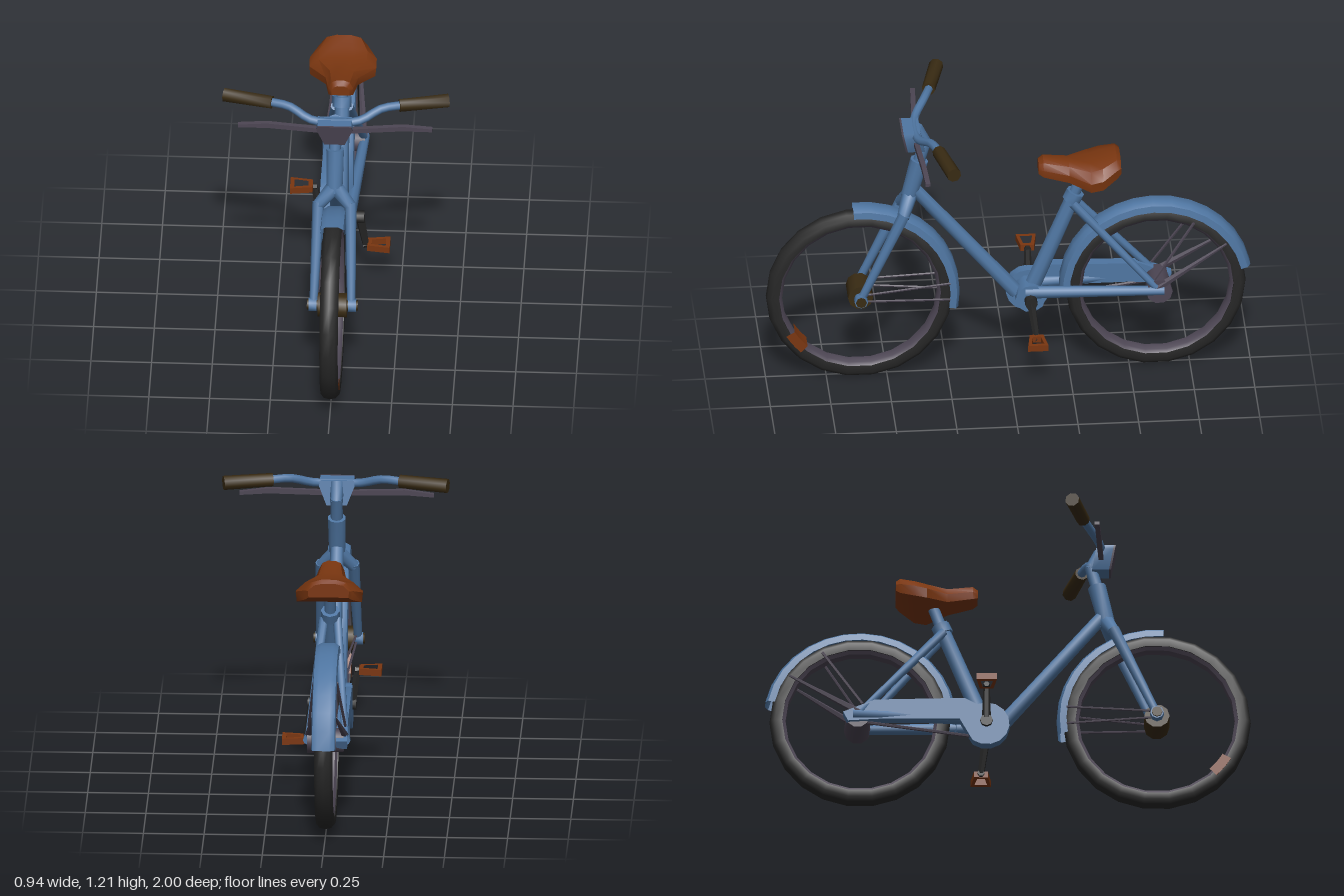
import * as THREE from 'three';
import { toCreasedNormals } from 'three/addons/utils/BufferGeometryUtils.js';

const paint = (name, color, side = THREE.FrontSide) => {
  const m = new THREE.MeshStandardMaterial({ color, side });
  m.name = name;
  return m;
};

export function createModel() {
  const blue = paint('frameBlue', 0x4f76a2, THREE.DoubleSide);
  const black = paint('tyreBlack', 0x272727);
  const grey = paint('metalGrey', 0x4d4654, THREE.DoubleSide);
  const leather = paint('leatherOrange', 0x7a3610);
  const olive = paint('gripBrown', 0x392b13);

  const model = new THREE.Group();
  model.name = 'bicycle';
  const V = (p) => new THREE.Vector3(...p);

  function add(name, geo, mat, crease = 0.7) {
    const mesh = new THREE.Mesh(toCreasedNormals(geo, crease), mat);
    mesh.name = name;
    model.add(mesh);
    return mesh;
  }
  // Straight tube between two points, optionally tapered
  function rod(name, a, b, r, mat, rEnd = r, sides = 8) {
    const from = V(a), dir = V(b).sub(from);
    const geo = new THREE.CylinderGeometry(rEnd, r, dir.length(), sides);
    geo.translate(0, dir.length() / 2, 0);
    geo.applyQuaternion(new THREE.Quaternion().setFromUnitVectors(new THREE.Vector3(0, 1, 0), dir.normalize()));
    geo.translate(...a);
    return add(name, geo, mat, 0.9);
  }
  // Profile of [radius, x] swept about the x axis; angles in degrees from front (+z) towards the top
  function ring(name, profile, y, z, mat, start = 0, end = 360, segs = 22) {
    const pts = profile.map(([r, x]) => new THREE.Vector2(r, x));
    const rad = Math.PI / 180;
    const geo = new THREE.LatheGeometry(pts, segs, start * rad, (end - start) * rad);
    geo.rotateZ(Math.PI / 2);
    geo.translate(0, y, z);
    return add(name, geo, mat, 0.9);
  }

  // Wheels and mudguards
  function wheel(label, R, y, z) {
    ring(label + 'Tyre', [
      [R - 0.052, -0.036], [R - 0.022, -0.038], [R - 0.005, -0.024], [R, 0],
      [R - 0.005, 0.024], [R - 0.022, 0.038], [R - 0.052, 0.036], [R - 0.052, -0.036],
    ], y, z, black);
    ring(label + 'Rim', [
      [R - 0.053, -0.033], [R - 0.05, 0.033], [R - 0.066, 0.022], [R - 0.066, -0.022], [R - 0.053, -0.033],
    ], y, z, grey);
  }
  const fender = (R) => [[R - 0.04, -0.05], [R - 0.012, -0.046], [R, -0.025], [R, 0.025], [R - 0.012, 0.046], [R - 0.04, 0.05]];
  const front = [0.395, 0.612], rear = [0.385, -0.61];
  wheel('front', 0.387, ...front);
  wheel('rear', 0.372, ...rear);
  ring('frontMudguard', fender(0.412), ...front, blue, 86, 190, 10);
  ring('rearMudguard', fender(0.398), ...rear, blue, -3, 168, 15);
  // Reflector set on the inner rim
  ring('reflector', [[0.312, -0.039], [0.352, -0.039], [0.352, 0.039], [0.312, 0.039], [0.312, -0.039]], ...front, leather, -46, -30, 3);

  // Hubs
  rod('frontHub', [-0.06, 0.4, 0.612], [0.06, 0.4, 0.612], 0.052, olive, 0.052, 10);
  rod('frontAxle', [-0.105, 0.4, 0.612], [0.105, 0.4, 0.612], 0.022, olive);
  rod('rearHub', [-0.07, 0.385, -0.62], [0.08, 0.385, -0.62], 0.048, grey, 0.055, 10);

  // Fork, mudguard stays and rear triangle, mirrored on both sides
  for (const s of [-1, 1]) {
    rod('forkLeg', [s * 0.078, 0.4, 0.612], [s * 0.066, 0.79, 0.432], 0.017, blue, 0.025);
    rod('forkCrown', [s * 0.068, 0.775, 0.438], [0, 0.85, 0.405], 0.025, blue, 0.034);
    rod('forkEnd', [s * 0.065, 0.4, 0.612], [s * 0.098, 0.4, 0.612], 0.028, blue);
    for (const y of [0.445, 0.37])
      rod('frontMudguardStay', [s * 0.07, 0.4 + (y - 0.4) * 0.4, 0.59], [s * 0.048, y, 0.24], 0.005, grey, 0.005, 5);
    rod('seatStay', [s * 0.028, 0.79, -0.265], [s * 0.075, 0.4, -0.61], 0.019, blue, 0.015);
    rod('chainStay', [s * 0.04, 0.385, -0.07], [s * 0.078, 0.39, -0.64], 0.027, blue, 0.02);
    rod('rearMudguardStay', [s * 0.075, 0.44, -0.6], [s * 0.047, 0.685, -0.765], 0.006, grey, 0.006, 5);
    rod('rearMudguardStay', [s * 0.075, 0.4, -0.61], [s * 0.047, 0.58, -0.9], 0.016, grey, 0.005, 5);
  }

  // Main frame tubes
  rod('headTube', [0, 0.83, 0.41], [0, 1.01, 0.365], 0.034, blue, 0.038, 10);
  rod('downTube', [0, 0.89, 0.4], [0, 0.37, -0.035], 0.028, blue, 0.032);
  rod('seatTube', [0, 0.34, -0.08], [0, 0.82, -0.275], 0.035, blue, 0.031);
  rod('seatClamp', [0, 0.79, -0.262], [0, 0.83, -0.28], 0.039, blue);
  rod('seatPost', [0, 0.82, -0.275], [0, 0.93, -0.315], 0.024, blue);
  rod('bottomBracket', [-0.07, 0.36, -0.09], [0.055, 0.36, -0.09], 0.062, blue, 0.062, 10);

  // Chain case on one side
  const caseShape = new THREE.Shape();
  caseShape.absarc(-0.09, 0.35, 0.1, 1.9, Math.PI * 1.5 + 0.35, false);
  caseShape.absarc(-0.09, 0.35, 0.1, -1.3, 0.9, false);
  caseShape.lineTo(0.08, 0.46);
  caseShape.lineTo(0.5, 0.455);
  caseShape.lineTo(0.64, 0.41);
  caseShape.lineTo(0.65, 0.365);
  caseShape.lineTo(0.5, 0.37);
  caseShape.lineTo(0.03, 0.37);
  const guard = new THREE.Shape();
  const arc = [];
  for (let i = 0; i <= 10; i++) {
    const a = 1.15 + (i / 10) * 4.2;
    arc.push(new THREE.Vector2(0.09 + 0.095 * Math.cos(a), 0.35 + 0.095 * Math.sin(a)));
  }
  guard.setFromPoints([...arc, ...[[0.2, 0.37], [0.5, 0.37], [0.66, 0.36], [0.68, 0.4], [0.55, 0.455], [0.18, 0.465]].map((p) => new THREE.Vector2(...p))]);
  const guardGeo = new THREE.ExtrudeGeometry(guard, { depth: 0.045, bevelEnabled: false });
  guardGeo.rotateY(Math.PI / 2); // shape x becomes -z, depth becomes +x
  guardGeo.translate(-0.085, 0, 0);
  add('chainCase', guardGeo, blue);
  rod('lowerChain', [-0.06, 0.3, -0.13], [-0.06, 0.365, -0.6], 0.007, grey, 0.007, 5);

  // Cranks and open-framed pedals, half a turn apart
  for (const [s, y, z] of [[1, 0.21, -0.11], [-1, 0.508, -0.09]]) {
    rod('crankHub', [s * 0.05, 0.36, -0.09], [s * 0.1, 0.36, -0.09], 0.026, black);
    rod('crankArm', [s * 0.082, 0.36, -0.09], [s * 0.105, y, z], 0.019, black, 0.014, 6);
    rod('pedalAxle', [s * 0.095, y, z], [s * 0.13, y, z], 0.015, black, 0.012, 6);
    const outline = (pts) => pts.map(([x, h]) => new THREE.Vector2(s * x, h));
    const pedal = new THREE.Shape(outline([[0.112, -0.028], [0.205, -0.042], [0.205, 0.042], [0.112, 0.028]]));
    pedal.holes.push(new THREE.Path(outline([[0.13, -0.016], [0.188, -0.026], [0.188, 0.026], [0.13, 0.016]])));
    const geo = new THREE.ExtrudeGeometry(pedal, { depth: 0.027, bevelEnabled: false });
    geo.rotateX(-Math.PI / 2);
    geo.translate(0, y - 0.0135, z);
    add('pedal', geo, leather);
  }

  // Saddle lofted from sections: z, half width, top, bottom
  const sections = [
    [-0.125, 0.038, 0.985, 0.94], [-0.145, 0.052, 1.0, 0.93], [-0.25, 0.068, 0.985, 0.908],
    [-0.335, 0.138, 0.985, 0.896], [-0.385, 0.138, 1.0, 0.905], [-0.445, 0.098, 1.022, 0.935], [-0.462, 0.085, 1.01, 0.95],
  ];
  const pos = [], idx = [], n = 8;
  for (const [z, w, t, b] of sections) {
    const h = t - b;
    const half = [[0.97, b], [1, b + h * 0.45], [0.72, b + h * 0.86], [0.3, t]];
    for (const [k, y] of half) pos.push(w * k, y, z);
    for (const [k, y] of half.slice().reverse()) pos.push(-w * k, y, z);
  }
  for (let i = 0; i < sections.length - 1; i++)
    for (let j = 0; j < n; j++) {
      const a = i * n + j, b = i * n + ((j + 1) % n);
      idx.push(a, a + n, b, b, a + n, b + n);
    }
  const last = (sections.length - 1) * n;
  for (let j = 1; j < n - 1; j++) {
    idx.push(0, j, j + 1);
    idx.push(last, last + j + 1, last + j);
  }
  const saddle = new THREE.BufferGeometry();
  saddle.setAttribute('position', new THREE.Float32BufferAttribute(pos, 3));
  saddle.setIndex(idx);
  add('saddle', saddle, leather, 0.6);

  // Stem
  rod('stem', [0, 1.0, 0.368], [0, 1.105, 0.337], 0.025, blue);
  rod('stemNeck', [0, 1.085, 0.338], [0, 1.16, 0.38], 0.026, blue, 0.03);

  // Handlebar, grips and brake levers
  const bar = new THREE.CatmullRomCurve3([
    [-0.28, 1.193, 0.3], [-0.19, 1.192, 0.33], [-0.1, 1.16, 0.375], [0, 1.155, 0.385],
    [0.1, 1.16, 0.375], [0.19, 1.192, 0.33], [0.28, 1.193, 0.3],
  ].map(V));
  add('handlebar', new THREE.TubeGeometry(bar, 18, 0.018, 8), blue, 0.9);
  for (const s of [-1, 1]) {
    rod('grip', [s * 0.262, 1.193, 0.306], [s * 0.462, 1.192, 0.258], 0.028, olive, 0.03);
    const lever = new THREE.Shape([[0.06, 1.125], [0.06, 1.105], [0.28, 1.114], [0.4, 1.108], [0.4, 1.122], [0.28, 1.136]]
      .map(([x, y]) => new THREE.Vector2(s * x, y)));
    const geo = new THREE.ExtrudeGeometry(lever, { depth: 0.02, bevelEnabled: false });
    geo.translate(0, 0, 0.375);
    const p = geo.attributes.position; // sweep the tips slightly back
    for (let i = 0; i < p.count; i++) p.setZ(i, p.getZ(i) - 0.06 * Math.abs(p.getX(i)));
    add('brakeLever', geo, grey);
  }

  // Lamp housing under the bar, with a grey front plate
  const lamp = new THREE.Shape([[-0.042, 1.07], [0.042, 1.07], [0.074, 1.15], [0.07, 1.17], [-0.07, 1.17], [-0.074, 1.15]]
    .map((p) => new THREE.Vector2(...p)));
  for (const [name, depth, z, mat] of [['lampHousing', 0.07, 0.355, blue], ['lampFace', 0.008, 0.425, grey]]) {
    const geo = new THREE.ExtrudeGeometry(lamp, { depth, bevelEnabled: false });
    geo.translate(0, 0, z);
    const p = geo.attributes.position; // lean the top forward
    for (let i = 0; i < p.count; i++) p.setZ(i, p.getZ(i) + 0.2 * (p.getY(i) - 1.12));
    add(name, geo, mat);
  }

  return model;
}
